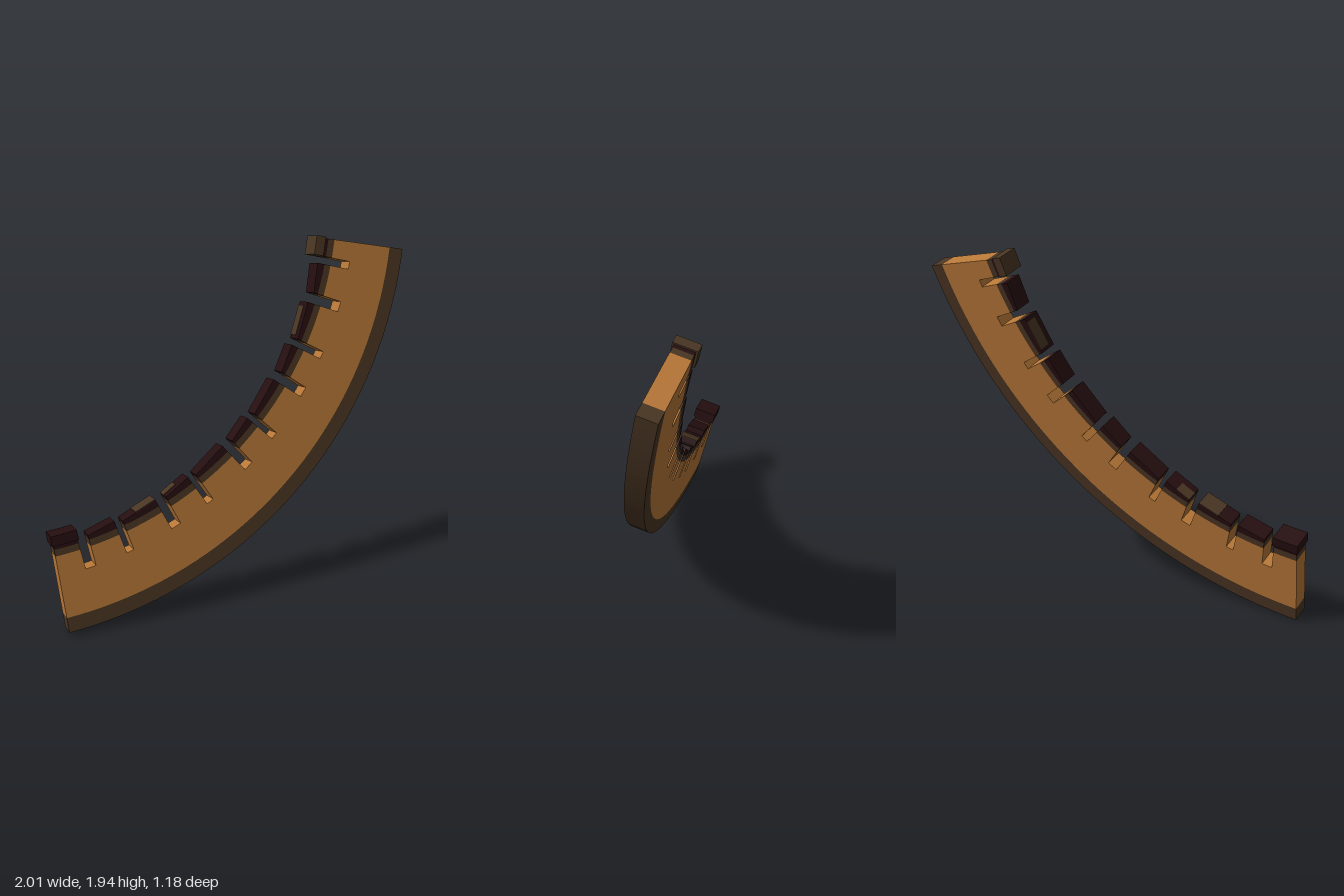
import * as THREE from 'three';

const DEG = Math.PI / 180;
const THICK = 0.108;
const R_OUTER = 2.333, R_RIM = 2.25, R_SLOT = 2.015, R_LAND = 1.903, R_TIP = 1.866;
const START = -86.4 * DEG, END = -12 * DEG;

// Slots cut into the inner edge: angle from the lower end, alternating wide and narrow
const SLOTS = [5, 11.5, 19.6, 26.2, 34.5, 40.8, 49.2, 55.8, 64, 70.7]
  .map((d, i) => ({ a: START + d * DEG, w: i % 2 ? 0.042 : 0.058 }));

const polar = (r, a) => new THREE.Vector2(r * Math.cos(a), r * Math.sin(a));

function arc(r, a0, a1) {
  const n = Math.max(2, Math.ceil(Math.abs(a1 - a0) / (1.8 * DEG)));
  return Array.from({ length: n + 1 }, (_, i) => polar(r, a0 + (a1 - a0) * i / n));
}

// Angle of a block's start or end at radius r, keeping slot walls parallel
const blockStart = (i, r) => (i === 0 ? START : SLOTS[i - 1].a + SLOTS[i - 1].w / 2 / r);
const blockEnd = (i, r) => (i === SLOTS.length ? END : SLOTS[i].a - SLOTS[i].w / 2 / r);

export function createModel() {
  const tan = new THREE.MeshStandardMaterial({ name: 'tanWood', color: 0xb87838 });
  const brown = new THREE.MeshStandardMaterial({ name: 'darkBrownEdge', color: 0x4a3623 });
  const black = new THREE.MeshStandardMaterial({ name: 'charredTip', color: 0x260e10 });

  const model = new THREE.Group();
  model.name = 'notchedArc';
  const plank = new THREE.Group();
  plank.name = 'curvedPlank';
  plank.position.set(-1.233, 2.264, 0.008);
  plank.rotation.set(-0.2424, 0.314, 0, 'YXZ');
  model.add(plank);

  function slab(name, points, material, z0 = 0, z1 = THICK) {
    const geo = new THREE.ExtrudeGeometry(new THREE.Shape(points), { depth: z1 - z0, bevelEnabled: false });
    geo.translate(0, 0, z0);
    const mesh = new THREE.Mesh(geo, material);
    mesh.name = name;
    plank.add(mesh);
  }

  // Dark outer rim
  slab('outerRim', [...arc(R_OUTER, START, END), ...arc(R_RIM, END, START)], brown);

  // Main board with its slotted inner edge
  const board = arc(R_RIM, START, END);
  for (let i = SLOTS.length; i >= 0; i--) {
    if (i < SLOTS.length) board.push(polar(R_SLOT, blockEnd(i, R_SLOT)));
    board.push(...arc(R_LAND, blockEnd(i, R_LAND), blockStart(i, R_LAND)));
    if (i > 0) board.push(polar(R_SLOT, blockStart(i, R_SLOT)));
  }
  slab('board', board, tan);

  // Inner teeth: a brown band and a blackened, flat-cut tip on each block
  for (let i = 0; i <= SLOTS.length; i++) {
    slab('toothBand', [
      ...arc(R_LAND, blockStart(i, R_LAND), blockEnd(i, R_LAND)),
      ...arc(R_TIP, blockEnd(i, R_TIP), blockStart(i, R_TIP))], brown);
    const r0 = 1.842, r1 = 1.823;
    const p0 = polar(r0, blockStart(i, r0)), p1 = polar(r1, blockEnd(i, r1));
    slab('toothTip', [...arc(R_TIP, blockStart(i, R_TIP), blockEnd(i, R_TIP)), p1, p0], black);

    // Worn brown patches on a few inner faces
    const worn = { 2: [0.4, 1, 0, 1], 3: [0, 0.55, 0, 0.6], 8: [0.1, 0.9, 0, 0.65] }[i];
    if (worn) {
      const a = p0.clone().lerp(p1, worn[0]), b = p0.clone().lerp(p1, worn[1]);
      slab('wornPatch', [a, b, b.clone().multiplyScalar(0.998), a.clone().multiplyScalar(0.998)],
        brown, worn[2] * THICK, worn[3] * THICK);
    }
  }

  // Raised lips on the two end teeth
  const lip = (name, a0, a1, material) => slab(name,
    [...arc(1.845, a0, a1), ...arc(1.79, a1, a0)], material, -0.012, THICK + 0.01);
  lip('lowerEndLip', START - 0.3 * DEG, blockEnd(0, 1.8) + 0.2 * DEG, black);
  lip('upperEndLip', blockStart(SLOTS.length, 1.8), END + 0.3 * DEG, brown);

  return model;
}
